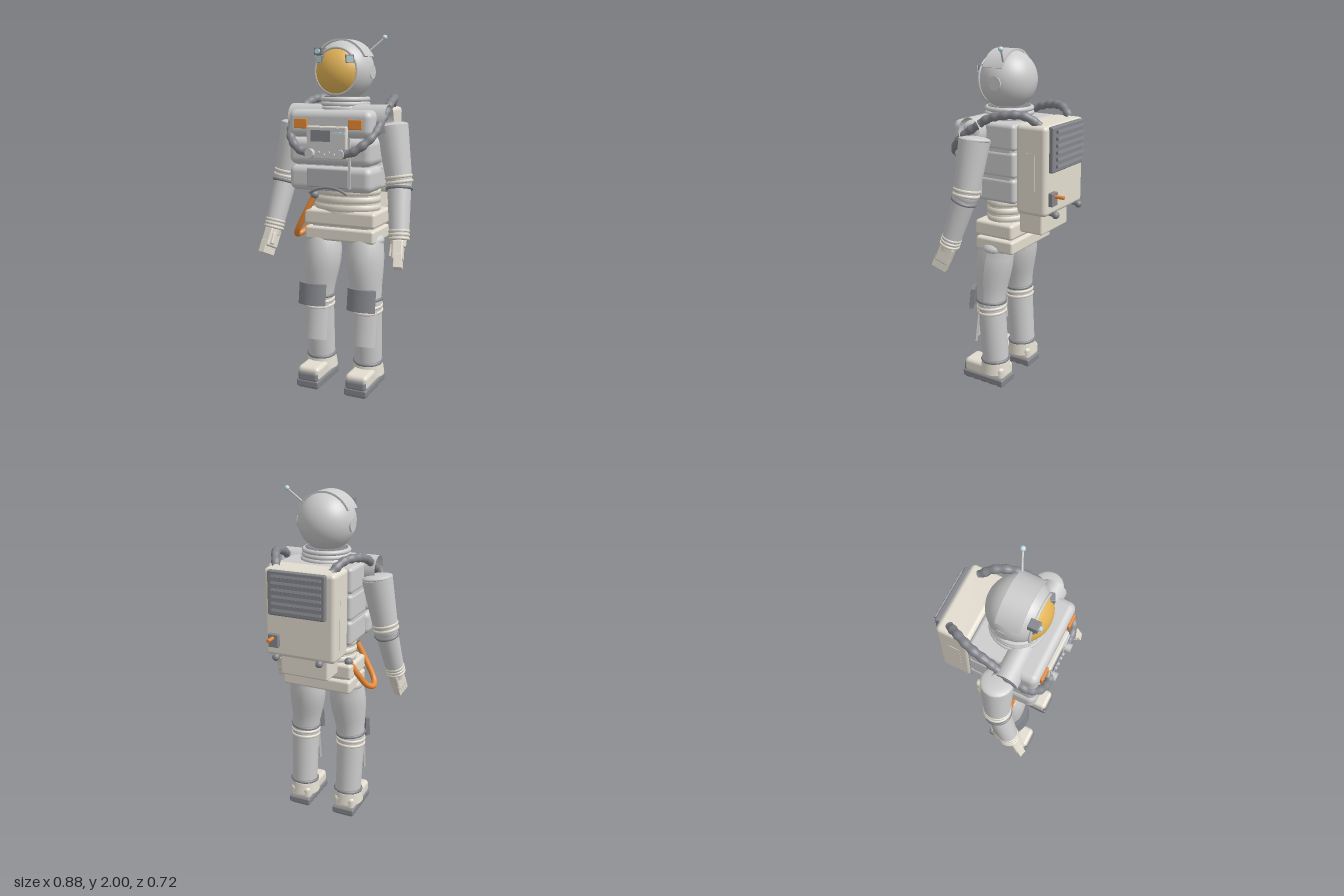
import * as THREE from 'three';
import { RoundedBoxGeometry } from 'three/addons/geometries/RoundedBoxGeometry.js';

const mat = (color, side = THREE.FrontSide) => new THREE.MeshStandardMaterial({ color, side });
const GREY = mat(0xcccccc), TAN = mat(0xe2dccf), DARK = mat(0x85868c), MID = mat(0xb0b0b4), ORANGE = mat(0xe88a38);
const GOLD = mat(0xe3b457), GLASS = mat(0xc4dde6), SHELL = mat(0xcccccc, THREE.DoubleSide);
const V = (p) => new THREE.Vector3(...p);

export function createModel() {
  const root = new THREE.Group();
  root.name = 'astronaut';

  const add = (name, geo, m, pos = [0, 0, 0], rot = [0, 0, 0]) => {
    const mesh = new THREE.Mesh(geo, m);
    mesh.name = name;
    mesh.position.set(...pos);
    mesh.rotation.set(...rot);
    root.add(mesh);
    return mesh;
  };
  const rbox = (w, h, d, r = 0.01) => new RoundedBoxGeometry(w, h, d, 3, r);
  const box = (w, h, d) => new THREE.BoxGeometry(w, h, d);
  const cyl = (r0, r1, h, n = 24) => new THREE.CylinderGeometry(r0, r1, h, n);
  const ball = (r) => new THREE.SphereGeometry(r, 20, 14);
  // Turn a mesh so that its y axis runs along a direction
  const aim = (mesh, a, b) => mesh.quaternion.setFromUnitVectors(new THREE.Vector3(0, 1, 0), V(b).sub(V(a)).normalize());
  // Tapered cylinder from a to b
  const limb = (name, a, b, r0, r1, m, n = 24) => {
    const mesh = add(name, cyl(r1, r0, V(a).distanceTo(V(b)), n), m, V(a).lerp(V(b), 0.5).toArray());
    aim(mesh, a, b);
  };
  // Ring around the line a-b at fraction t
  const band = (name, a, b, t, r, tube, m) => {
    const geo = new THREE.TorusGeometry(r, tube, 8, 32).rotateX(Math.PI / 2);
    aim(add(name, geo, m, V(a).lerp(V(b), t).toArray()), a, b);
  };
  // Curved plate, centred on an angle in the xy plane, extruded along z
  const arcPlate = (r0, r1, half, depth, mid) => {
    const s = new THREE.Shape();
    s.absarc(0, 0, r1, mid - half, mid + half, false);
    s.absarc(0, 0, r0, mid + half, mid - half, true);
    return new THREE.ExtrudeGeometry(s, { depth, bevelEnabled: false, curveSegments: 24 }).translate(0, 0, -depth / 2);
  };
  const legPlate = (r0, r1, half, h) => arcPlate(r0, r1, half, h, -Math.PI / 2).rotateX(-Math.PI / 2);
  // Tube through points; radius follows a rule along its length
  const hose = (name, pts, m, radius) => {
    const curve = new THREE.CatmullRomCurve3(pts.map(V));
    const n = 100, sides = 20;
    const geo = new THREE.TubeGeometry(curve, n, 1, sides);
    const p = geo.attributes.position, v = new THREE.Vector3();
    for (let i = 0; i <= n; i++) {
      const c = curve.getPointAt(i / n);
      for (let j = 0; j <= sides; j++) {
        const q = i * (sides + 1) + j;
        v.fromBufferAttribute(p, q).sub(c).multiplyScalar(radius(i / n)).add(c);
        p.setXYZ(q, v.x, v.y, v.z);
      }
    }
    geo.computeVertexNormals();
    add(name, geo, m);
  };

  // Helmet
  const HY = 1.812, HZ = 0.086, HR = 0.163, open = 0.79;
  add('helmetShell', new THREE.SphereGeometry(HR, 40, 28, 0, Math.PI * 2, open, Math.PI - open).rotateX(Math.PI / 2), SHELL, [0, HY, HZ]);
  add('visor', new THREE.SphereGeometry(HR, 36, 12, 0, Math.PI * 2, 0, open + 0.05).rotateX(Math.PI / 2), GOLD, [0, HY - 0.01, HZ + 0.003]);
  add('visorRim', new THREE.TorusGeometry(0.123, 0.008, 10, 40), GREY, [0, HY - 0.006, 0.197]);
  add('helmetBand', arcPlate(0.155, 0.166, 1.13, 0.125, Math.PI / 2), GREY, [0, HY, 0.092]);
  limb('antenna', [0.12, 1.908, 0.038], [0.2, 1.985, 0], 0.006, 0.005, GREY, 8);
  add('antennaTip', ball(0.014), GLASS, [0.2, 1.986, 0]);
  add('camera', rbox(0.048, 0.04, 0.052, 0.004), DARK, [-0.092, 1.91, 0.203]);
  add('cameraLens', cyl(0.013, 0.013, 0.016, 16), GLASS, [-0.092, 1.91, 0.235], [Math.PI / 2, 0, 0]);
  for (const s of [-1, 1]) {
    add('earDisc', cyl(0.038, 0.038, 0.03, 24), GREY, [s * 0.147, 1.802, 0.07], [0, 0, Math.PI / 2]);
    add('helmetLamp', rbox(0.046, 0.042, 0.036, 0.004), DARK, [s * 0.083, 1.87, 0.206], [0.1, s * 0.5, 0]);
    add('lampLens', box(0.036, 0.034, 0.006), GLASS, [s * 0.092, 1.868, 0.223], [0.1, s * 0.5, 0]);
  }
  [[1.655, 0.125, 0.014], [1.63, 0.125, 0.015], [1.607, 0.132, 0.014]].forEach(([y, r, t]) =>
    add('neckRing', new THREE.TorusGeometry(r, t, 10, 40), GREY, [0, y, 0.08], [Math.PI / 2, 0, 0]));
  add('neck', cyl(0.12, 0.13, 0.1, 32), DARK, [0, 1.62, 0.08]);

  // Torso: three padded segments, wider across the chest
  add('torsoCore', rbox(0.44, 0.41, 0.36, 0.03), GREY, [0, 1.385, 0.092]);
  [[1.53, 0.145], [1.381, 0.148], [1.235, 0.14]].forEach(([y, h]) => {
    add('backSegment', rbox(0.45, h, 0.36, 0.022), GREY, [0, y, 0.085]);
    add('chestSegment', rbox(0.49, h, 0.19, 0.04), GREY, [0, y, 0.207]);
  });
  add('shoulderYoke', new THREE.CylinderGeometry(0.085, 0.085, 0.575, 32, 1, true).scale(1, 1, 0.83), SHELL, [0, 1.546, 0.15], [0, 0, Math.PI / 2]);
  add('bellyPanel', rbox(0.25, 0.105, 0.02, 0.008), MID, [-0.005, 1.24, 0.296]);
  add('bellyLip', new THREE.TorusGeometry(0.2, 0.008, 8, 24, 1.2), DARK, [0, 0.99, 0.304], [0, 0, Math.PI / 2 - 0.6]);
  add('chestSeam', box(0.014, 0.27, 0.012), GREY, [0.125, 1.325, 0.302]);

  // Chest control unit
  add('controlBox', rbox(0.235, 0.175, 0.028, 0.008), TAN, [-0.002, 1.432, 0.308]);
  add('controlFace', box(0.218, 0.158, 0.008), GREY, [-0.002, 1.432, 0.322]);
  add('screen', box(0.115, 0.06, 0.01), DARK, [-0.033, 1.468, 0.325]);
  add('statusStrip', box(0.07, 0.012, 0.01), GLASS, [0.075, 1.485, 0.325]);
  for (let i = 0; i < 4; i++) {
    add('knob', cyl(0.009, 0.009, 0.014, 14), GREY, [-0.045 + i * 0.03, 1.38 - 0.012 * (i % 2), 0.33], [Math.PI / 2, 0, 0]);
  }

  // Waist and hips
  const oval = (r, t) => new THREE.TorusGeometry(r, t, 10, 40).rotateX(Math.PI / 2).scale(1, 1, 0.68);
  add('waist', cyl(0.19, 0.195, 0.16, 40).scale(1, 1, 0.67), TAN, [0, 1.1, 0.05]);
  [1.145, 1.1, 1.055].forEach((y) => add('waistFold', oval(0.174, 0.026), TAN, [0, y, 0.05]));
  add('belt', rbox(0.435, 0.09, 0.25, 0.018), TAN, [0, 0.995, 0.053]);
  add('hipCore', rbox(0.36, 0.1, 0.2, 0.02), GREY, [0, 0.93, 0.053]);
  add('hips', rbox(0.425, 0.077, 0.25, 0.015), TAN, [0, 0.902, 0.053]);

  // Backpack
  add('backpack', rbox(0.418, 0.49, 0.187, 0.025), TAN, [0, 1.362, -0.187]);
  add('lowerTank', rbox(0.29, 0.14, 0.145, 0.012), TAN, [0, 1.06, -0.15]);
  add('radiator', rbox(0.335, 0.245, 0.032, 0.008), DARK, [0.005, 1.48, -0.288]);
  for (let i = 0; i < 6; i++) add('louver', box(0.285, 0.016, 0.02), DARK, [0, 1.39 + i * 0.037, -0.308], [0.35, 0, 0]);
  add('valveBlock', rbox(0.06, 0.075, 0.03, 0.005), DARK, [0.145, 1.212, -0.29]);
  add('valveLever', cyl(0.01, 0.01, 0.07, 12), ORANGE, [0.145, 1.228, -0.325], [Math.PI / 2, 0, 0]);
  for (const s of [-1, 1]) {
    add('packSidePanel', box(0.008, 0.28, 0.065), TAN, [s * 0.207, 1.32, -0.18]);
    limb('portStem', [s * 0.13, 1.125, -0.25], [s * 0.13, 1.12, -0.3], 0.013, 0.013, DARK, 12);
    add('port', ball(0.021), DARK, [s * 0.13, 1.12, -0.3]);
  }

  // Looped umbilical beside the right hip
  hose('umbilical', [[-0.165, 1.11, 0.15], [-0.22, 1.0, 0.16], [-0.28, 0.892, 0.145], [-0.293, 0.87, 0.1],
    [-0.27, 0.89, 0.055], [-0.235, 0.96, 0.01], [-0.19, 1.05, -0.03]], ORANGE, () => 0.017);
  [[-0.16, 1.12, 0.15], [-0.188, 1.05, -0.03]].forEach((p) => add('umbilicalPort', ball(0.024), DARK, p));

  for (const s of [-1, 1]) {
    // Chest tag and air hose
    add('chestTag', rbox(0.078, 0.052, 0.014, 0.004), ORANGE, [s * 0.16, 1.53, 0.308]);
    add('hosePort', cyl(0.025, 0.025, 0.04, 16), GREY, [s * 0.09, 1.375, 0.335], [Math.PI / 2, 0, 0]);
    hose('airHose', [[s * 0.09, 1.375, 0.325], [s * 0.145, 1.385, 0.325], [s * 0.2, 1.42, 0.312], [s * 0.245, 1.475, 0.265],
      [s * 0.258, 1.54, 0.19], [s * 0.258, 1.585, 0.12], [s * 0.253, 1.628, 0.05], [s * 0.236, 1.655, -0.06],
      [s * 0.2, 1.65, -0.15], [s * 0.16, 1.6, -0.22]], DARK, (t) => 0.023 + 0.0022 * Math.sin(t * 28 * Math.PI));

    // Arm
    const sh = [s * 0.292, 1.515, 0.112], el = [s * 0.345, 1.22, 0.137], wr = [s * 0.383, 0.925, 0.233];
    limb('upperArm', sh, el, 0.087, 0.07, GREY);
    add('shoulder', ball(0.087).scale(1, 0.25, 1), GREY, sh, [0, 0, s * 0.16]);
    add('elbow', ball(0.069), GREY, el);
    limb('forearm', el, wr, 0.066, 0.053, GREY);
    [0.91, 1].forEach((t) => band('elbowRing', sh, el, t, 0.067, 0.01, TAN));
    band('elbowCuff', el, wr, 0.12, 0.066, 0.009, DARK);
    [0.86, 0.925, 0.99].forEach((t) => band('wristRing', el, wr, t, 0.05, 0.009, TAN));

    // Glove
    const hand = new THREE.Group();
    hand.name = 'glove';
    hand.position.set(s * 0.38, 0.93, 0.233);
    hand.rotation.set(-0.43, s * 0.25, 0, 'YXZ');
    const part = (name, geo, p, r = [0, 0, 0]) => hand.add(add(name, geo, TAN, p, r));
    part('gloveCuff', cyl(0.045, 0.042, 0.05), [0, -0.02, 0]);
    part('palm', rbox(0.062, 0.11, 0.088, 0.012), [0, -0.065, 0]);
    for (let i = 0; i < 4; i++) part('finger', rbox(0.046, 0.075, 0.0235, 0.004), [s * 0.004, -0.125, -0.033 + i * 0.022]);
    part('thumb', rbox(0.024, 0.07, 0.026, 0.008), [-s * 0.032, -0.07, 0.016], [0, 0, -s * 0.08]);
    root.add(hand);

    // Leg: the thigh tucks under the hips and swells forward
    const kn = [s * 0.152, 0.52, 0.115], an = [s * 0.15, 0.13, 0.088];
    add('hipJoint', ball(0.098).scale(1, 0.5, 0.88), GREY, [s * 0.136, 0.872, 0.078]);
    hose('thigh', [[s * 0.134, 0.875, 0.079], [s * 0.132, 0.82, 0.092], [s * 0.134, 0.74, 0.105], [s * 0.142, 0.64, 0.113], kn],
      GREY, (t) => 0.094 + 0.03 * Math.sin(t * Math.PI) * (1 - t) - 0.011 * t);
    add('knee', ball(0.082), GREY, kn);
    limb('shin', kn, an, 0.084, 0.078, GREY);
    band('kneeStrap', [s * 0.142, 0.64, 0.113], kn, 0.88, 0.084, 0.009, DARK);
    [0.05, 0.13].forEach((t) => band('kneeRing', kn, an, t, 0.081, 0.01, TAN));
    add('kneePad', legPlate(0.1, 0.125, 0.76, 0.125), DARK, [s * 0.153, 0.535, 0.116], [-0.14, 0, 0]);
    add('shinPad', legPlate(0.088, 0.101, 0.87, 0.21), GREY, [s * 0.152, 0.37, 0.104], [-0.13, 0, 0]);
    band('ankleRing', kn, an, 0.93, 0.08, 0.01, DARK);

    // Boot
    add('bootCuff', cyl(0.084, 0.094, 0.07, 28), TAN, [s * 0.15, 0.115, 0.09]);
    add('bootUpper', rbox(0.135, 0.085, 0.275, 0.024), TAN, [s * 0.15, 0.086, 0.143]);
    add('toeCap', rbox(0.125, 0.06, 0.06, 0.018), DARK, [s * 0.15, 0.072, 0.26]);
    add('sole', rbox(0.14, 0.044, 0.29, 0.01), DARK, [s * 0.15, 0.03, 0.145]);
    for (let i = 0; i < 5; i++) add('tread', box(0.115, 0.016, 0.034), DARK, [s * 0.15, 0.008, 0.029 + i * 0.058]);
  }
  return root;
}
